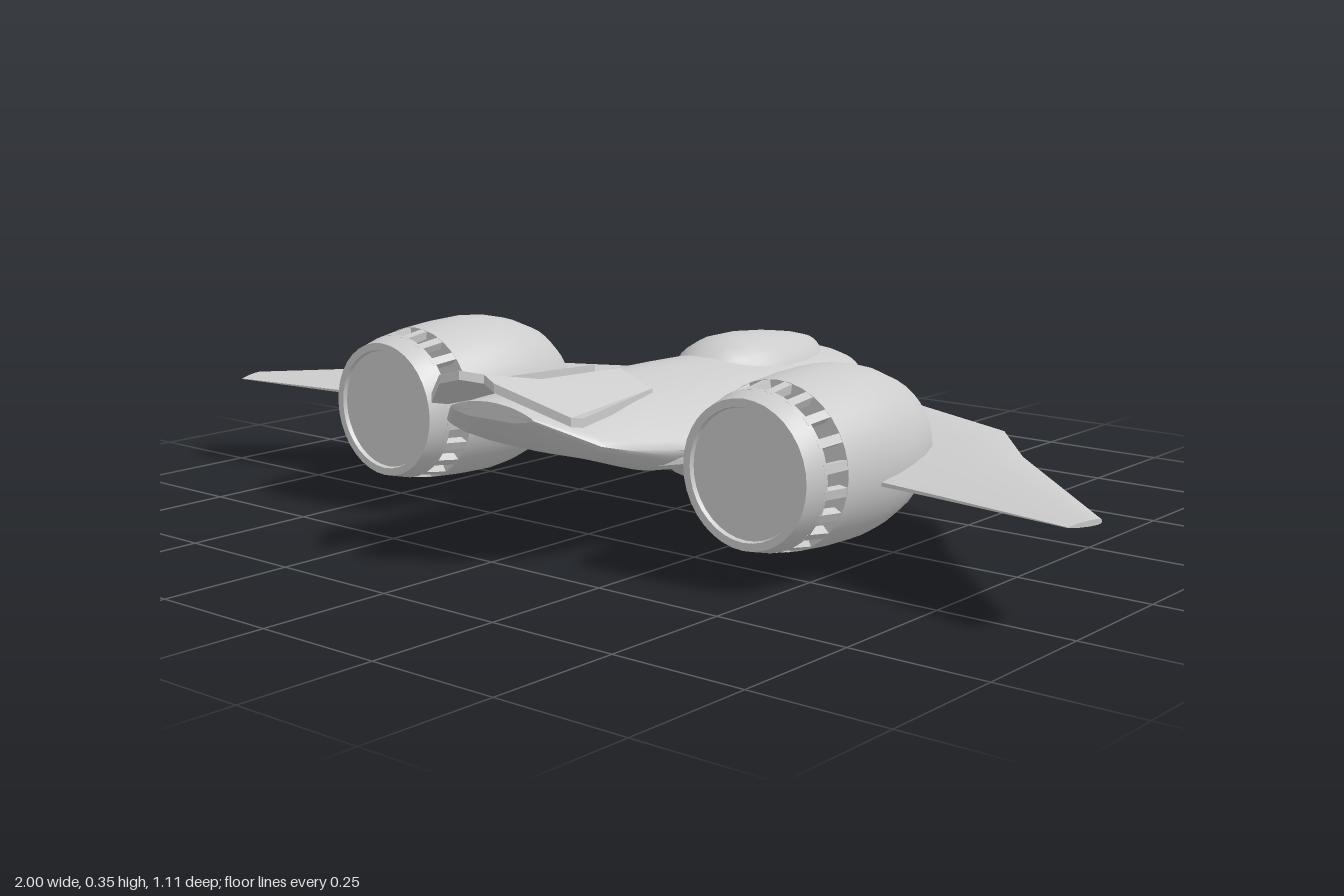
import * as THREE from 'three';
import { toCreasedNormals } from 'three/addons/utils/BufferGeometryUtils.js';

const material = new THREE.MeshStandardMaterial({ color: 0xcccccc, side: THREE.DoubleSide });
const V = (x, y, z) => new THREE.Vector3(x, y, z);

function part(parent, name, geometry, crease = 0.6) {
  const mesh = new THREE.Mesh(toCreasedNormals(geometry, crease), material);
  mesh.name = name;
  parent.add(mesh);
  return mesh;
}

// Skin a list of equal-length closed loops, cap both ends, and face it outwards
function loft(loops) {
  const n = loops[0].length;
  const pts = loops.flat();
  const tris = [];
  for (let i = 0; i < loops.length - 1; i++) {
    for (let j = 0; j < n; j++) {
      const a = i * n + j, b = i * n + (j + 1) % n;
      tris.push([a, b, b + n], [a, b + n, a + n]);
    }
  }
  [0, loops.length - 1].forEach((row, end) => {
    const centre = V(0, 0, 0);
    loops[row].forEach(p => centre.addScaledVector(p, 1 / n));
    pts.push(centre);
    for (let j = 0; j < n; j++) {
      const a = row * n + j, b = row * n + (j + 1) % n;
      tris.push(end ? [a, b, pts.length - 1] : [b, a, pts.length - 1]);
    }
  });
  let volume = 0;
  const cross = V(0, 0, 0);
  for (const [a, b, c] of tris) volume += pts[a].dot(cross.crossVectors(pts[b], pts[c]));
  if (volume < 0) tris.forEach(t => t.reverse());
  const g = new THREE.BufferGeometry().setFromPoints(pts);
  g.setIndex(tris.flat());
  return g;
}

// Fuselage: z, bottom y, bottom half width, widest y, half width, shoulder half width, shoulder y, top y
function hull() {
  const rows = [
    [-0.555, 0.195, 0.01, 0.203, 0.015, 0.01, 0.208, 0.212],
    [-0.535, 0.15, 0.04, 0.185, 0.055, 0.04, 0.215, 0.226],
    [-0.48, 0.018, 0.09, 0.175, 0.115, 0.08, 0.23, 0.252],
    [-0.42, 0.003, 0.13, 0.17, 0.18, 0.1, 0.24, 0.268],
    [-0.3, 0.012, 0.15, 0.17, 0.22, 0.13, 0.245, 0.275],
    [-0.14, 0.028, 0.15, 0.17, 0.235, 0.14, 0.25, 0.282],
    [-0.1, 0.065, 0.16, 0.17, 0.235, 0.14, 0.25, 0.285],
    [-0.02, 0.11, 0.18, 0.17, 0.235, 0.145, 0.25, 0.286],
    [0.13, 0.125, 0.19, 0.172, 0.235, 0.145, 0.25, 0.287],
    [0.26, 0.14, 0.185, 0.185, 0.21, 0.145, 0.25, 0.287],
    [0.36, 0.172, 0.17, 0.2, 0.198, 0.145, 0.25, 0.285],
    [0.42, 0.195, 0.15, 0.215, 0.187, 0.14, 0.25, 0.283],
    [0.495, 0.25, 0.07, 0.26, 0.1, 0.06, 0.274, 0.28],
  ];
  return loft(rows.map(([z, yb, wb, yw, w, ws, ys, yt]) => {
    const half = [[wb * 0.8, yb], [wb, yb + (yw - yb) * 0.25], [w, yw], [ws, ys], [ws * 0.45, yt - (yt - ys) * 0.25]];
    const loop = [V(0, yb, z), ...half.map(([x, y]) => V(x, y, z)), V(0, yt, z),
      ...half.slice().reverse().map(([x, y]) => V(-x, y, z))];
    return new THREE.CatmullRomCurve3(loop, true, 'centripetal').getPoints(48).slice(0, 48);
  }));
}

// Cockpit hump: z, half width, top y
function canopy() {
  const rows = [[-0.45, 0.015, 0.255], [-0.41, 0.05, 0.287], [-0.36, 0.078, 0.299], [-0.29, 0.1, 0.31],
    [-0.21, 0.111, 0.317], [-0.15, 0.106, 0.317], [-0.1, 0.088, 0.308], [-0.068, 0.06, 0.285]];
  return loft(rows.map(([z, w, top]) => Array.from({ length: 28 }, (_, i) => {
    const a = i / 28 * Math.PI * 2;
    return V(w * Math.cos(a), 0.235 + (top - 0.235) * Math.sin(a), z);
  })));
}

// Wing: x, leading z, trailing z, top y, bottom y
function wing(s) {
  const rows = [
    [0.1, -0.47, 0.3, 0.22, 0.11], [0.18, -0.42, 0.28, 0.208, 0.115], [0.235, -0.4, 0.2, 0.202, 0.122],
    [0.29, -0.375, 0.13, 0.2, 0.128], [0.57, -0.26, 0.168, 0.195, 0.135],
    [0.7, -0.1, 0.195, 0.19, 0.146], [1, 0.185, 0.255, 0.178, 0.168],
  ];
  const chord = [[0, 0.3], [0.025, 0.7], [0.12, 0.95], [0.35, 1], [0.7, 0.7], [1, 0.12]];
  return loft(rows.map(([x, z0, z1, yt, yb]) => {
    const mid = (yt + yb) / 2, h = (yt - yb) / 2;
    const at = (t, k) => V(s * (x - (x === 1 ? 0.02 * t : 0)), mid + k * h, z0 + (z1 - z0) * t);
    return [...chord.map(([t, k]) => at(t, k)), ...chord.slice().reverse().map(([t, k]) => at(t, -k))];
  }));
}

// Sloping tail plate, bent upwards at its rear end
function tailPlate(s) {
  const outline = [[0.03, 0.195], [0.108, 0.195], [0.163, 0.44], [0.168, 0.475], [0.065, 0.552], [0.03, 0.54], [0.03, 0.44]];
  const shape = new THREE.Shape(outline.map(([x, z]) => new THREE.Vector2(s * x, z)));
  const g = new THREE.ExtrudeGeometry(shape, { depth: 0.016, bevelEnabled: false }).rotateX(Math.PI / 2);
  const p = g.attributes.position;
  for (let i = 0; i < p.count; i++) {
    const x = Math.abs(p.getX(i)), z = p.getZ(i);
    const rise = 0.302 + 0.04 * (z - 0.195) + 0.22 * Math.max(0, z - 0.44);
    p.setY(i, p.getY(i) + rise - 0.36 * (x - 0.03));
  }
  return g;
}

const lathe = (points, n) =>
  new THREE.LatheGeometry(points.map(([r, z]) => new THREE.Vector2(r, z)), n).rotateX(Math.PI / 2);

function engine(name) {
  const g = new THREE.Group();
  g.name = name;
  part(g, 'nacelle', lathe([[0, -0.122], [0.025, -0.119], [0.05, -0.108], [0.082, -0.083], [0.115, -0.04], [0.139, 0.02],
    [0.151, 0.075], [0.155, 0.12], [0.153, 0.19], [0.147, 0.26], [0.122, 0.26], [0, 0.255]], 36));
  part(g, 'exhaustRing', lathe([[0, 0.325], [0.115, 0.325], [0.122, 0.307], [0.139, 0.307], [0.128, 0.35],
    [0.114, 0.35], [0.112, 0.342], [0, 0.342]], 36));
  // Struts between the vent slots
  const count = 20;
  for (let i = 0; i < count; i++) {
    const pivot = new THREE.Group();
    pivot.rotation.z = (i + 0.5) / count * Math.PI * 2;
    const strut = part(pivot, 'ventStrut', new THREE.BoxGeometry(0.016, 0.016, 0.056));
    strut.position.set(0, 0.134, 0.284);
    strut.rotation.x = 0.16;
    g.add(pivot);
  }
  return g;
}

function gun(name) {
  const g = new THREE.Group();
  g.name = name;
  part(g, 'gunPod', new THREE.SphereGeometry(1, 20, 14).scale(0.036, 0.042, 0.06));
  const barrel = part(g, 'gunBarrel', new THREE.CylinderGeometry(0.011, 0.011, 0.16, 12).rotateX(Math.PI / 2));
  barrel.position.z = -0.112;
  return g;
}

export function createModel() {
  const model = new THREE.Group();
  model.name = 'spacecraft';
  part(model, 'fuselage', hull(), 0.75);
  part(model, 'canopy', canopy(), 0.9);
  for (const s of [1, -1]) {
    const side = s > 0 ? 'left' : 'right';
    part(model, side + 'Wing', wing(s), 0.7);
    part(model, side + 'TailPlate', tailPlate(s), 0.3);
    const e = engine(side + 'Engine');
    e.position.set(s * 0.435, 0.19, 0);
    model.add(e);
    const w = gun(side + 'Gun');
    w.position.set(s * 0.158, 0.063, -0.362);
    w.rotation.y = s * 0.2;
    model.add(w);
  }
  return model;
}
